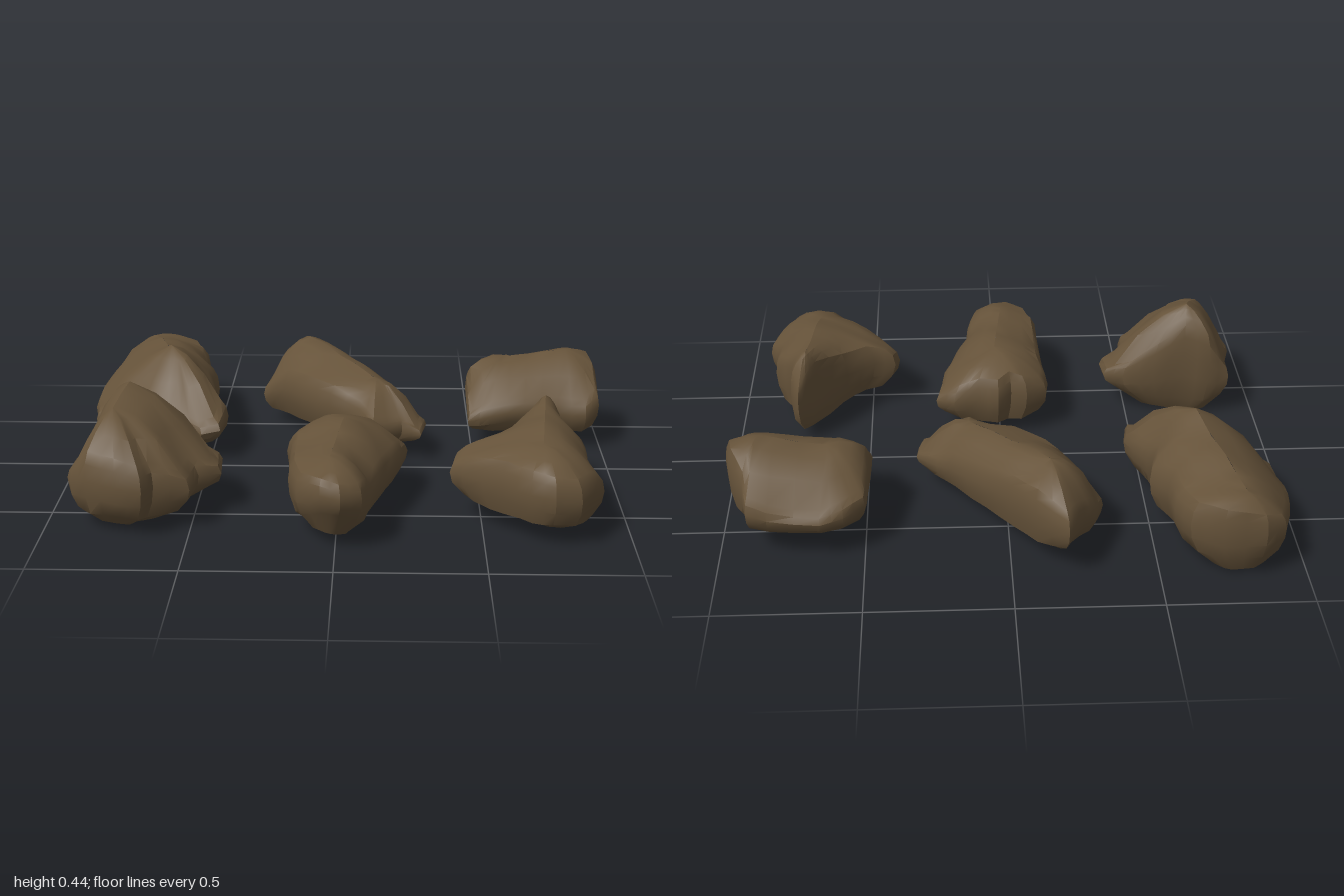
import * as THREE from 'three';
import { toCreasedNormals } from 'three/addons/utils/BufferGeometryUtils.js';

// Each rock: plan outline as x, z, lower rim height, upper rim height;
// a crest line (x, z, y at both ends); base height of the underside.
const ROCKS = {
  backLeftRock: {
    base: 0.015, crest: [-0.79, -0.78, 0.295, -0.67, -0.34, 0.365],
    outline: [-.92, -.81, .07, .23, -.85, -.86, .08, .25, -.70, -.86, .08, .26, -.60, -.80, .07, .26,
      -.56, -.70, .06, .26, -.55, -.58, .05, .26, -.50, -.47, .05, .24, -.52, -.40, .05, .25,
      -.49, -.29, .05, .22, -.44, -.17, .06, .2, -.46, -.04, .07, .16, -.53, -.03, .06, .15,
      -.61, -.09, .04, .18, -.72, -.11, .04, .17, -.85, -.21, .03, .15, -.97, -.29, .02, .13,
      -1, -.45, .02, .14, -.97, -.64, .04, .17],
  },
  backMiddleRock: {
    base: 0.05, crest: [-0.14, -0.61, 0.345, 0.13, -0.23, 0.285],
    outline: [-.19, -.84, .1, .25, -.08, -.74, .08, .29, 0, -.62, .07, .28, .09, -.50, .07, .25,
      .20, -.34, .07, .2, .25, -.28, .07, .17, .32, -.19, .07, .13, .30, -.07, .07, .13,
      .23, -.09, .07, .17, .12, -.04, .07, .18, .06, -.13, .06, .22, -.05, -.21, .06, .25,
      -.16, -.32, .06, .26, -.24, -.45, .06, .24, -.33, -.55, .06, .16, -.30, -.65, .07, .2,
      -.25, -.72, .08, .23, -.21, -.80, .1, .25],
  },
  backRightRock: {
    base: 0.06, crest: [0.63, -0.44, 0.32, 0.87, -0.42, 0.345],
    outline: [.50, -.61, .09, .21, .57, -.67, .09, .2, .65, -.70, .09, .19, .83, -.68, .09, .2,
      .90, -.66, .09, .22, .92, -.57, .09, .28, .97, -.48, .09, .32, .99, -.37, .09, .31,
      .99, -.25, .08, .23, .94, -.21, .07, .2, .83, -.22, .07, .21, .70, -.21, .07, .2,
      .57, -.20, .07, .19, .48, -.19, .08, .17, .48, -.39, .09, .27, .49, -.55, .09, .24],
  },
  frontLeftRock: {
    base: 0.01, crest: [-0.73, 0.37, 0.44, -0.77, 0.51, 0.39],
    outline: [-.90, .29, .08, .24, -.82, .27, .07, .35, -.72, .29, .07, .39, -.60, .29, .07, .31,
      -.48, .31, .09, .23, -.41, .35, .1, .2, -.40, .47, .09, .19, -.48, .52, .06, .22,
      -.50, .64, .06, .2, -.62, .67, .05, .24, -.65, .74, .06, .25, -.74, .73, .06, .28,
      -.85, .68, .05, .29, -.91, .62, .06, .23, -.93, .54, .07, .19, -.90, .41, .07, .23],
  },
  frontMiddleRock: {
    base: 0.04, crest: [0.02, 0.31, 0.3, -0.02, 0.7, 0.29],
    outline: [-.18, .20, .07, .23, -.10, .15, .06, .25, -.04, .16, .06, .26, .01, .12, .06, .24,
      .09, .14, .06, .24, .18, .14, .07, .22, .25, .19, .08, .19, .22, .33, .06, .21,
      .17, .49, .06, .21, .12, .65, .06, .2, .12, .70, .07, .21, .09, .81, .1, .23,
      .02, .86, .13, .25, -.05, .84, .13, .26, -.13, .77, .1, .26, -.16, .65, .07, .26,
      -.17, .46, .06, .25, -.17, .34, .06, .25, -.19, .27, .07, .23],
  },
  frontRightRock: {
    base: 0.04, crest: [0.74, 0.2, 0.345, 0.7, 0.6, 0.315],
    outline: [.77, .11, .08, .24, .80, .17, .07, .28, .80, .27, .06, .28, .87, .38, .06, .24,
      .87, .49, .05, .24, .91, .61, .06, .2, .86, .70, .06, .23, .82, .78, .07, .24,
      .73, .80, .08, .25, .65, .76, .07, .26, .56, .66, .06, .26, .43, .54, .07, .24,
      .39, .49, .08, .22, .41, .43, .08, .23, .49, .41, .07, .26, .59, .33, .06, .28,
      .70, .20, .06, .3, .74, .14, .07, .28],
  },
};

// Rings from underside to crest: spread from the crest line, then weights
// of base, lower rim, upper rim and crest heights
const RINGS = [[0, 1, 0, 0, 0], [0.5, 0.95, 0.05, 0, 0], [0.84, 0, 1, 0, 0], [0.97, 0, 0.7, 0.3, 0],
  [1, 0, 0.42, 0.58, 0], [0.96, 0, 0.17, 0.83, 0], [0.86, 0, 0, 1, 0], [0.58, 0, 0, 0.5, 0.5],
  [0.28, 0, 0, 0.14, 0.86], [0, 0, 0, 0, 1]];

// Gentle chipped unevenness
const rough = (x, y, z) =>
  0.007 * Math.sin(17 * x + 11 * y - 5 * z) + 0.006 * Math.sin(23 * z - 13 * x + 19 * y)
  + 0.01 * (Math.abs(Math.sin(9 * x + 12 * z + 7 * y)) - 0.6);

function rockGeometry({ base, crest, outline }) {
  const [ax, az, ay, bx, bz, by] = crest;
  const dx = bx - ax, dz = bz - az;
  const corners = outline.length / 4, n = corners * 2;
  const positions = [], index = [];
  const corner = (i) => outline.slice((i % corners) * 4, (i % corners) * 4 + 4);

  for (const [spread, wBase, wLow, wHigh, wCrest] of RINGS) {
    for (let i = 0; i < n; i++) {
      // Outline point, with midpoints between corners
      const p = corner(i >> 1), q = corner((i + 1) >> 1);
      const [ox, oz, low, high] = p.map((v, k) => (v + q[k]) / 2);
      // Nearest point of the crest line
      const t = THREE.MathUtils.clamp(((ox - ax) * dx + (oz - az) * dz) / (dx * dx + dz * dz), 0, 1);
      const cx = ax + dx * t, cz = az + dz * t, cy = ay + (by - ay) * t;
      const x = cx + (ox - cx) * spread, z = cz + (oz - cz) * spread;
      const y = wBase * base + wLow * low + wHigh * high + wCrest * cy;
      const r = rough(x, y, z), f = 1 + r * 1.5;
      positions.push(cx + (x - cx) * f, Math.max(0, y + r * 0.7), cz + (z - cz) * f);
    }
  }
  for (let k = 0; k < RINGS.length - 1; k++) {
    for (let i = 0; i < n; i++) {
      const a = k * n + i, b = k * n + (i + 1) % n;
      index.push(a, a + n, b, b, a + n, b + n);
    }
  }
  const geometry = new THREE.BufferGeometry();
  geometry.setAttribute('position', new THREE.Float32BufferAttribute(positions, 3));
  geometry.setIndex(index);
  return toCreasedNormals(geometry, 0.6);
}

export function createModel() {
  const model = new THREE.Group();
  model.name = 'rocks';
  const stone = new THREE.MeshStandardMaterial({ color: 0x66533a });
  stone.name = 'brown stone';
  for (const [name, rock] of Object.entries(ROCKS)) {
    const mesh = new THREE.Mesh(rockGeometry(rock), stone);
    mesh.name = name;
    model.add(mesh);
  }
  return model;
}
